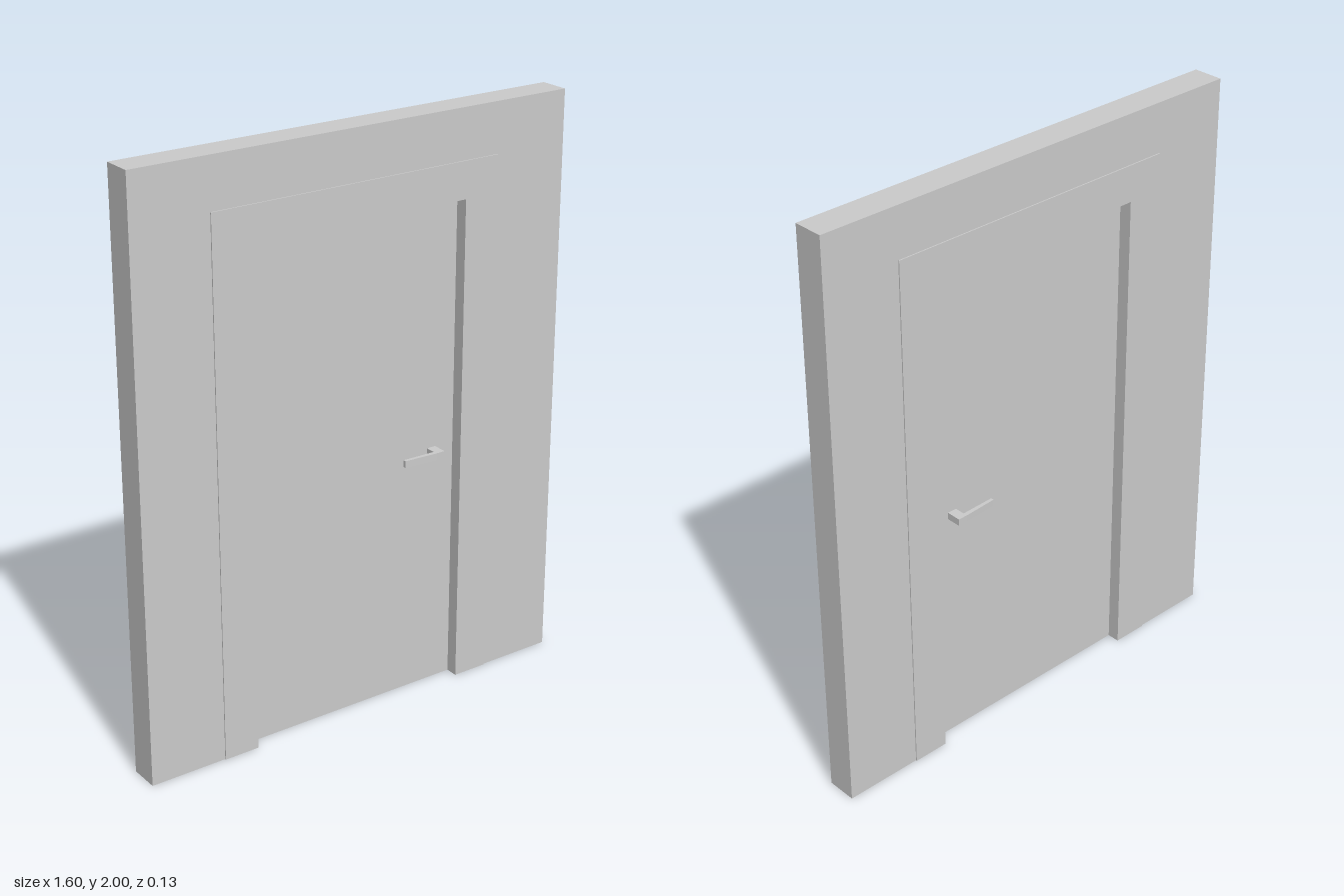
import * as THREE from 'three';

const material = new THREE.MeshStandardMaterial({ color: 0xcccccc, flatShading: true, side: THREE.DoubleSide });

// Half width, height of the nested outlines, and half depths
const WALL = [0.8, 2], TRIM = [0.53, 1.83], OPENING = [0.405, 1.705];
const WALL_Z = 0.052, TRIM_Z = 0.056, DOOR_Z = 0.012;

function addMesh(parent, name, geometry) {
  const mesh = new THREE.Mesh(geometry, material);
  mesh.name = name;
  parent.add(mesh);
  return mesh;
}

// Flat arch-shaped face between two outlines, open at the floor
function archFace([w, h], [iw, ih], z) {
  const points = [[w, 0], [w, h], [-w, h], [-w, 0], [-iw, 0], [-iw, ih], [iw, ih], [iw, 0]];
  const shape = new THREE.Shape(points.map(([x, y]) => new THREE.Vector2(x, y)));
  return new THREE.ShapeGeometry(shape).translate(0, 0, z);
}

// Band along an outline (two sides and top) from depth z0 to z1
function archBand([w, h], z0, z1, inward = false) {
  const path = [[w, 0], [w, h], [-w, h], [-w, 0]];
  if (inward) path.reverse();
  const positions = [];
  for (let i = 0; i < 3; i++) {
    const a = path[i], b = path[i + 1];
    positions.push(...a, z0, ...b, z0, ...b, z1, ...a, z0, ...b, z1, ...a, z1);
  }
  const geometry = new THREE.BufferGeometry();
  geometry.setAttribute('position', new THREE.Float32BufferAttribute(positions, 3));
  geometry.computeVertexNormals();
  return geometry;
}

// Lever handle: plan outline (x, z) extruded upwards
function leverHandle() {
  const outline = [
    [0.333, DOOR_Z], [0.333, 0.063], [0.3, 0.063], [0.18, 0.055],
    [0.18, 0.044], [0.3, 0.048], [0.3, DOOR_Z],
  ];
  const shape = new THREE.Shape(outline.map(([x, z]) => new THREE.Vector2(x, -z)));
  return new THREE.ExtrudeGeometry(shape, { depth: 0.024, bevelEnabled: false })
    .rotateX(-Math.PI / 2)
    .translate(0, 0.841, 0);
}

export function createModel() {
  const model = new THREE.Group();
  model.name = 'doorInWall';

  // Hollow wall, open underneath
  addMesh(model, 'wallEdges', archBand(WALL, -WALL_Z, WALL_Z));

  // Door leaf
  const door = new THREE.BoxGeometry(OPENING[0] * 2, OPENING[1], DOOR_Z * 2);
  addMesh(model, 'doorLeaf', door.translate(0, OPENING[1] / 2, 0));

  // Front and its mirrored back
  for (const [name, sign] of [['front', 1], ['back', -1]]) {
    const side = new THREE.Group();
    side.name = name + 'Side';
    side.scale.z = sign;
    addMesh(side, 'wallFace', archFace(WALL, TRIM, WALL_Z));
    addMesh(side, 'trimEdge', archBand(TRIM, WALL_Z, TRIM_Z));
    addMesh(side, 'trimFace', archFace(TRIM, OPENING, TRIM_Z));
    addMesh(side, 'jamb', archBand(OPENING, DOOR_Z, TRIM_Z, true));
    addMesh(side, 'leverHandle', leverHandle());
    model.add(side);
  }
  return model;
}
